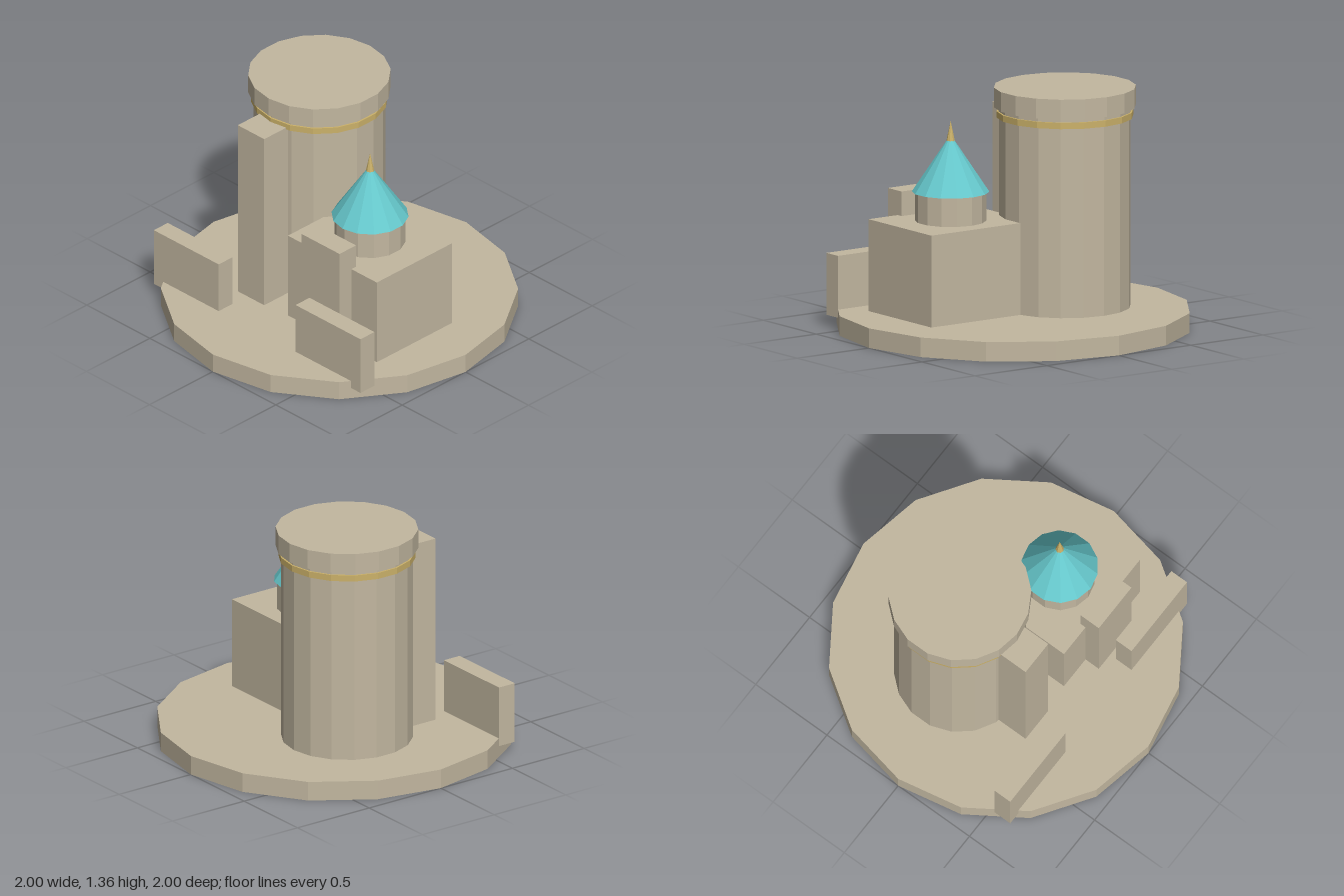
import * as THREE from 'three';

export function createModel() {
  const model = new THREE.Group();
  const material = (name, color) => {
    const m = new THREE.MeshStandardMaterial({ color, flatShading: true });
    m.name = name;
    return m;
  };
  const stone = material('stone', 0xc2b7a0);
  const teal = material('teal roof', 0x66c8cc);
  const gold = material('gold', 0xccb26a);

  const add = (name, geometry, mat, x, y, z) => {
    const mesh = new THREE.Mesh(geometry, mat);
    mesh.name = name;
    mesh.position.set(x, y, z);
    model.add(mesh);
  };
  // Faceted drum or cone between two heights
  const drum = (name, mat, x, z, y0, y1, rBottom, rTop, sides) =>
    add(name, new THREE.CylinderGeometry(rTop, rBottom, y1 - y0, sides), mat, x, (y0 + y1) / 2, z);
  // Block given by its extents
  const block = (name, x0, x1, y0, y1, z0, z1) =>
    add(name, new THREE.BoxGeometry(x1 - x0, y1 - y0, z1 - z0), stone,
      (x0 + x1) / 2, (y0 + y1) / 2, (z0 + z1) / 2);

  // Round platform
  const floor = 0.112;
  drum('platform', stone, 0, 0, 0, floor, 1, 1, 16);

  // Main tower with gold band and overhanging cap
  const tx = -0.275, tz = -0.115;
  drum('mainTower', stone, tx, tz, floor, 1.23, 0.37, 0.37, 18);
  drum('goldBand', gold, tx, tz, 1.193, 1.229, 0.385, 0.385, 18);
  drum('towerNeck', stone, tx, tz, 1.229, 1.252, 0.375, 0.375, 18);
  drum('towerCap', stone, tx, tz, 1.252, 1.364, 0.4, 0.4, 18);
  block('towerButtress', -0.38, -0.17, floor, 1.204, 0.2, 0.425);

  // Keep with a raised front slab
  block('keep', 0, 0.705, floor, 0.636, -0.187, 0.407);
  block('frontSlab', 0.2, 0.503, floor, 0.776, 0.37, 0.5);

  // Small turret with pointed roof and finial
  const sx = 0.353, sz = 0.11;
  drum('turret', stone, sx, sz, 0.636, 0.801, 0.2, 0.2, 14);
  drum('turretRoof', teal, sx, sz, 0.801, 1.125, 0.217, 0, 14);
  drum('finial', gold, sx, sz, 1.09, 1.204, 0.024, 0, 8);

  // Pair of low gate walls, overhanging the platform edge
  for (const [name, s] of [['leftWall', 1], ['rightWall', -1]]) {
    const [a, b] = [s * 0.305, s * 0.82];
    block(name, Math.min(a, b), Math.max(a, b), 0.066, 0.419, 0.54, 0.65);
  }
  return model;
}
